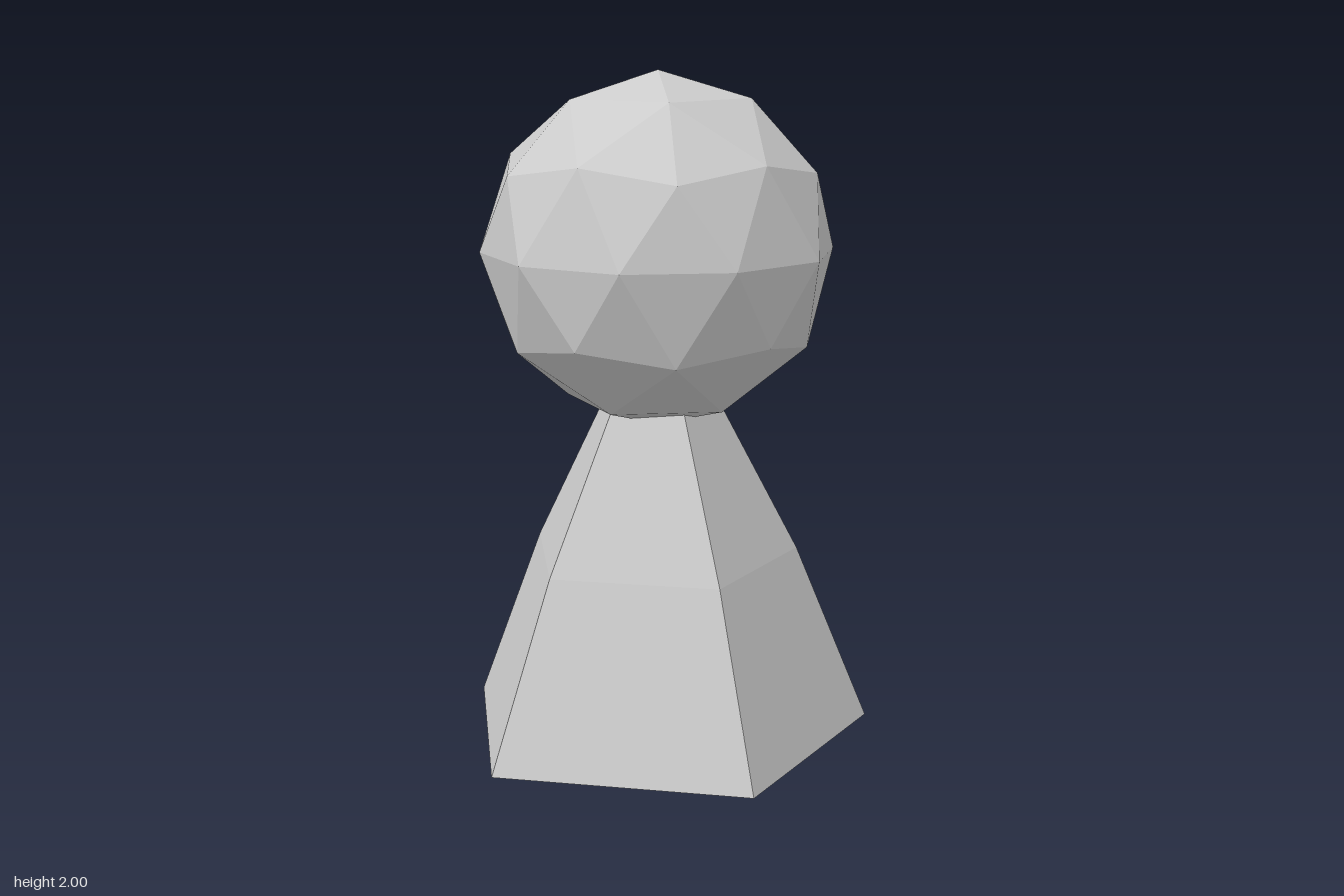
import * as THREE from 'three';

export function createModel() {
  const group = new THREE.Group();
  const material = new THREE.MeshStandardMaterial({ color: 0xcccccc, flatShading: true });
  const centreZ = 0.062;

  // Five-sided tapering body, one corner pointing back, closed underneath
  const profile = [[0, 0], [0.652, 0], [0.427, 0.55], [0.14, 1.1], [0, 1.1]]
    .map(([r, y]) => new THREE.Vector2(r, y));
  const body = new THREE.Mesh(new THREE.LatheGeometry(profile, 5), material);
  body.name = 'body';
  body.rotation.y = Math.PI;
  body.position.z = centreZ;
  group.add(body);

  // Faceted ball head, tipped so that one five-way corner is at the top
  const golden = (1 + Math.sqrt(5)) / 2;
  const ball = new THREE.IcosahedronGeometry(0.525, 1);
  ball.rotateZ(-Math.atan(1 / golden));
  const head = new THREE.Mesh(ball, material);
  head.name = 'head';
  head.position.set(0, 1.475, centreZ);
  group.add(head);

  return group;
}
